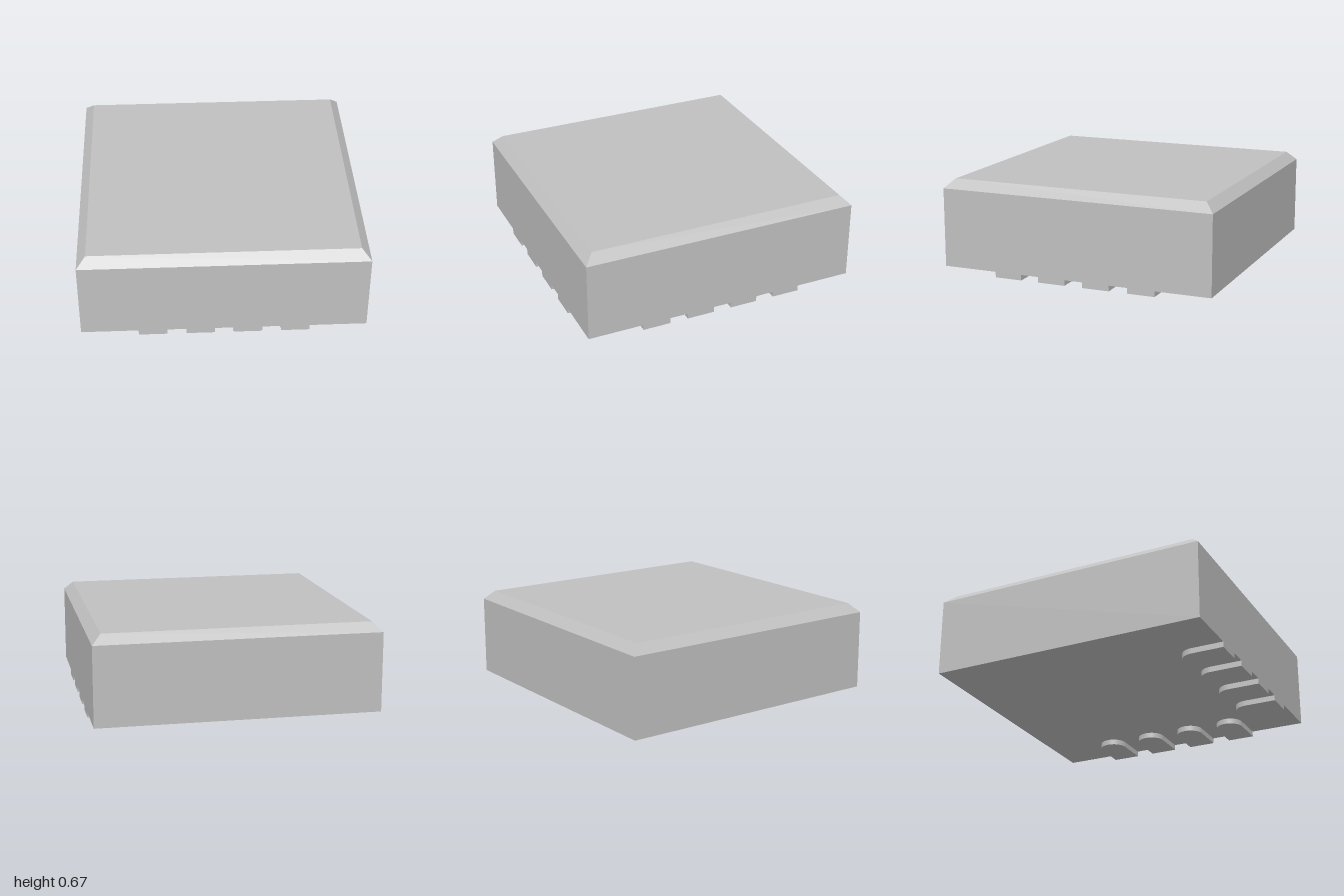
import * as THREE from 'three';

const PAD_HEIGHT = 0.04;

// Square block with a chamfered upper rim: a four-sided lathe with flat faces
function bodyGeometry() {
  const profile = [
    [0, PAD_HEIGHT],
    [1, PAD_HEIGHT],
    [1, 0.605],
    [0.935, 0.67],
    [0, 0.67],
  ].map(([halfWidth, y]) => new THREE.Vector2(halfWidth * Math.SQRT2, y));
  const geometry = new THREE.LatheGeometry(profile, 4, Math.PI / 4).toNonIndexed();
  geometry.computeVertexNormals();
  return geometry;
}

// Contact pad: square at the outer edge (z = 1), semicircular at the inner end
function padGeometry() {
  const radius = 0.1;
  const outer = 1;
  const arcCentre = 0.665 + radius;
  const shape = new THREE.Shape();
  shape.moveTo(-radius, -outer);
  shape.lineTo(radius, -outer);
  shape.lineTo(radius, -arcCentre);
  shape.absarc(0, -arcCentre, radius, 0, Math.PI, false);
  shape.lineTo(-radius, -outer);
  const geometry = new THREE.ExtrudeGeometry(shape, {
    depth: PAD_HEIGHT,
    bevelEnabled: false,
    curveSegments: 24,
  });
  return geometry.rotateX(-Math.PI / 2);
}

export function createModel() {
  const model = new THREE.Group();
  model.name = 'surfaceMountPackage';

  const grey = new THREE.MeshStandardMaterial({ color: 0xc0c0c0 });
  grey.name = 'package grey';

  const body = new THREE.Mesh(bodyGeometry(), grey);
  body.name = 'body';
  model.add(body);

  // Four pads along the front edge and four along the +x edge
  const pad = padGeometry();
  for (const [name, angle] of [['frontPads', 0], ['leftPads', Math.PI / 2]]) {
    const row = new THREE.Group();
    row.name = name;
    row.rotation.y = angle;
    for (let i = 0; i < 4; i++) {
      const mesh = new THREE.Mesh(pad, grey);
      mesh.name = `pad${i + 1}`;
      mesh.position.x = (i - 1.5) * 0.333;
      row.add(mesh);
    }
    model.add(row);
  }
  return model;
}
